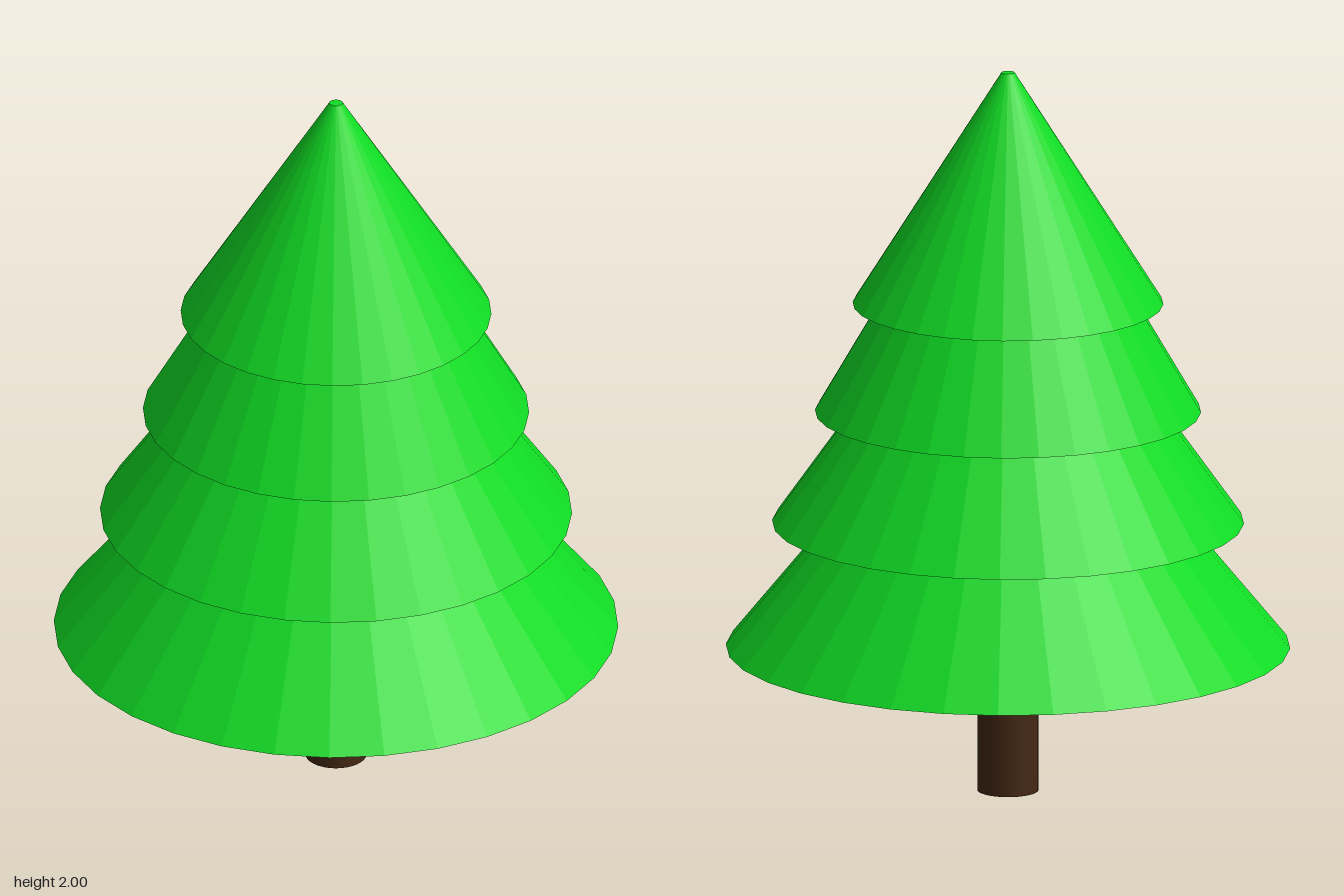
import * as THREE from 'three';

export function createModel() {
  const tree = new THREE.Group();
  tree.name = 'tree';

  const needles = new THREE.MeshStandardMaterial({ color: 0x10dc24, flatShading: true });
  const bark = new THREE.MeshStandardMaterial({ color: 0x442814 });

  // Upright truncated cone standing on the given height
  const addRound = (name, bottomY, topY, bottomR, topR, material) => {
    const height = topY - bottomY;
    const mesh = new THREE.Mesh(new THREE.CylinderGeometry(topR, bottomR, height, 32), material);
    mesh.position.y = bottomY + height / 2;
    mesh.name = name;
    tree.add(mesh);
  };

  // Trunk
  addRound('trunk', 0, 0.42, 0.083, 0.083, bark);

  // Four overlapping foliage tiers, widest at the bottom: [bottom y, top y, bottom radius]
  const tiers = [
    [0.4, 1.315, 0.763],
    [0.747, 1.625, 0.638],
    [1.056, 1.925, 0.522],
    [1.357, 2, 0.42],
  ];
  tiers.forEach(([bottom, top, radius], i) => {
    addRound(`foliageTier${i + 1}`, bottom, top, radius, 0.018, needles);
  });

  return tree;
}
